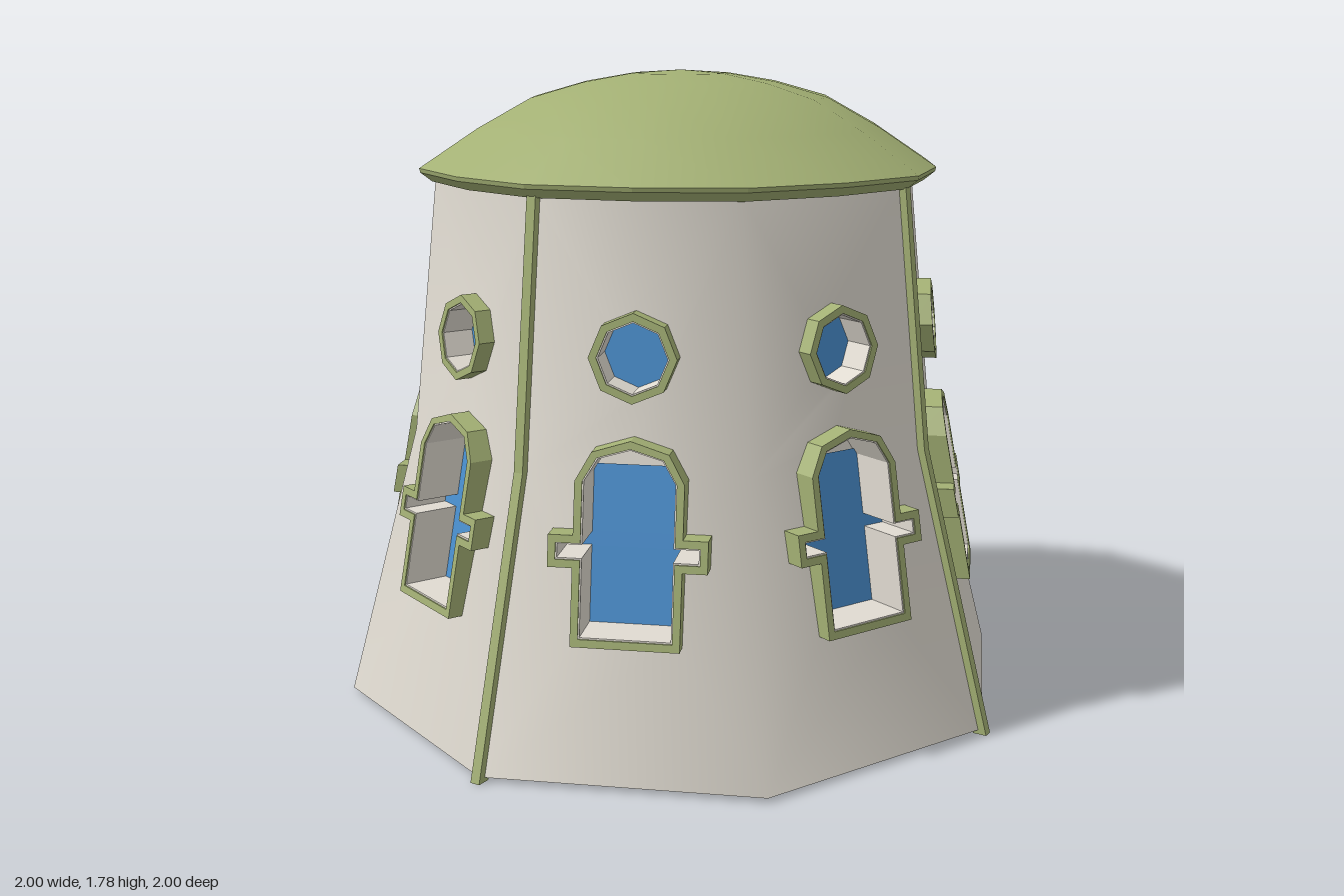
import * as THREE from 'three';

const BEND = 0.78, TOP = 1.49, STEP = Math.PI / 4;
const RADII = [[0.012, 0.98], [BEND, 0.775], [TOP, 0.7]];

// Corner radius of the eight-sided wall at height y
function radiusAt(y) {
  const [p, q] = y <= BEND ? [RADII[0], RADII[1]] : [RADII[1], RADII[2]];
  return p[1] + (q[1] - p[1]) * (y - p[0]) / (q[0] - p[0]);
}
const apothem = y => radiusAt(y) * Math.cos(STEP / 2);
const halfWidth = y => radiusAt(y) * Math.sin(STEP / 2);

// Leaning plane that carries the front of the arched frames
const archPlane = y => 0.855 - 0.19 * (y - 0.388);

const toShape = pts => new THREE.Shape(pts.map(p => new THREE.Vector2(p[0], p[1])));

// Arched opening with side slots, grown by a margin m
const HALF = 0.118;
function lowerEdge(m) {
  const a = HALF + m, s = 0.183 + m;
  const right = [[a, BEND], [a, 0.62 + m], [s, 0.62 + m], [s, 0.586 - m], [a, 0.586 - m], [a, 0.388 - m]];
  return [...right, ...right.map(([x, y]) => [-x, y]).reverse()];
}
function archEdge(m, n = 4) {
  const pts = [];
  for (let i = 0; i <= n; i++) {
    const t = Math.PI * (1 - i / n);
    pts.push([Math.cos(t) * (HALF + m), BEND + Math.sin(t) * (0.08 + m)]);
  }
  return pts;
}
const archOutline = m => [...lowerEdge(m), ...archEdge(m).slice(1, -1)];
function roundOutline(m) {
  const pts = [];
  for (let i = 0; i < 8; i++) pts.push([Math.sin(i * STEP) * (0.09 + m), 1.09 + Math.cos(i * STEP) * (0.09 + m)]);
  return pts;
}

// Moves a flat (x, y) drawing out to a leaning surface
function lay(geo, surface) {
  const p = geo.attributes.position;
  for (let i = 0; i < p.count; i++) p.setZ(i, p.getZ(i) + surface(p.getY(i)));
  geo.computeVertexNormals();
  return geo;
}

// Wall panel with normals that blend smoothly around the tower
function wallPanel(shape) {
  const geo = lay(new THREE.ShapeGeometry(shape), apothem);
  const p = geo.attributes.position, normals = [];
  for (let i = 0; i < p.count; i++) {
    const y = p.getY(i), t = p.getX(i) / halfWidth(y) * STEP / 2;
    const n = new THREE.Vector3(Math.sin(t), 0.25 - 0.1 * y, Math.cos(t)).normalize();
    normals.push(n.x, n.y, n.z);
  }
  geo.setAttribute('normal', new THREE.Float32BufferAttribute(normals, 3));
  return geo;
}

// Band around an opening, between two margins, from depth z0 to z1
function band(outline, inner, outer, z0, z1, surface) {
  const shape = toShape(outline(outer));
  shape.holes.push(toShape(outline(inner).reverse()));
  const geo = new THREE.ExtrudeGeometry(shape, { depth: z1 - z0, bevelEnabled: false });
  return lay(geo.translate(0, 0, z0), surface);
}

function plate(pts, z, surface) {
  return lay(new THREE.ShapeGeometry(toShape(pts)).translate(0, 0, z), surface);
}

// Sixteen-sided lathe, drawn in slightly between the eight main corners
function roofLathe(profile, flat) {
  let geo = new THREE.LatheGeometry(profile.map(p => new THREE.Vector2(...p)), 16);
  const p = geo.attributes.position, n = profile.length;
  for (let i = 0; i < p.count; i++) {
    const k = Math.floor(i / n) % 2 ? 0.975 : 1;
    p.setXYZ(i, p.getX(i) * k, p.getY(i), p.getZ(i) * k);
  }
  if (flat) {
    geo = geo.toNonIndexed();
    geo.computeVertexNormals();
  }
  return geo;
}

export function createModel() {
  const plaster = new THREE.MeshStandardMaterial({ color: 0xe0dbd1 });
  plaster.name = 'plaster';
  const green = new THREE.MeshStandardMaterial({ color: 0xa3b074 });
  green.name = 'moss green';
  const glass = new THREE.MeshStandardMaterial({ color: 0x4a90d0 });
  glass.name = 'blue glass';

  const model = new THREE.Group();
  model.name = 'tower';
  const add = (parent, name, geo, mat) => {
    const mesh = new THREE.Mesh(geo, mat);
    mesh.name = name;
    parent.add(mesh);
    return mesh;
  };

  // Wall panels with openings
  const y0 = RADII[0][0], w0 = halfWidth(y0), w1 = halfWidth(BEND), w2 = halfWidth(TOP);
  const lower = toShape([[-w0, y0], [w0, y0], [w1, BEND], ...lowerEdge(0.003), [-w1, BEND]]);
  const upper = toShape([[w1, BEND], [w2, TOP], [-w2, TOP], [-w1, BEND], ...archEdge(0.003)]);
  upper.holes.push(toShape(roundOutline(0.003)));

  // Flat-topped pane inside the arched recess
  const pane = [...lowerEdge(0.003), [-0.115, 0.795], [0.115, 0.795]];
  const parts = [
    ['lowerWall', wallPanel(lower), plaster],
    ['upperWall', wallPanel(upper), plaster],
    ['archFrame', band(archOutline, 0.004, 0.024, -0.08, 0, archPlane), green],
    ['archRecess', band(archOutline, 0, 0.004, -0.14, -0.004, archPlane), plaster],
    ['archRecessBack', plate(archOutline(0.003), -0.133, archPlane), plaster],
    ['archPane', plate(pane, -0.127, archPlane), glass],
    ['roundFrame', band(roundOutline, 0.004, 0.025, -0.01, 0.046, apothem), green],
    ['roundRecess', band(roundOutline, 0, 0.004, -0.06, 0.042, apothem), plaster],
    ['roundPane', plate(roundOutline(0.003), -0.045, apothem), glass],
  ];
  for (let k = 0; k < 8; k++) {
    const side = new THREE.Group();
    side.name = 'wallSide' + (k + 1);
    side.rotation.y = (k + 0.5) * STEP;
    for (const [name, geo, mat] of parts) add(side, name, geo, mat);
    model.add(side);
  }

  // Floor underside
  const floor = new THREE.CircleGeometry(RADII[0][1], 8).rotateX(Math.PI / 2).translate(0, y0, 0);
  add(model, 'floor', floor, plaster);

  // Ribs on the four main corners
  const ribShape = toShape([[0.96, 0], [0.998, 0], [0.79, BEND], [0.714, TOP], [0.68, TOP], [0.75, BEND]]);
  const ribGeo = new THREE.ExtrudeGeometry(ribShape, { depth: 0.028, bevelEnabled: false }).translate(0, 0, -0.014);
  for (let k = 0; k < 4; k++) add(model, 'rib' + (k + 1), ribGeo, green).rotation.y = k * Math.PI / 2;

  // Shallow dome with a thin rim
  const dome = [[0.745, 1.52], [0.58, 1.628], [0.43, 1.71], [0.28, 1.752], [0.14, 1.776], [0, 1.785]];
  add(model, 'domeRoof', roofLathe(dome, false), green);
  add(model, 'domeRim', roofLathe([[0, 1.483], [0.71, 1.483], [0.742, 1.508], [0.745, 1.52]], true), green);

  return model;
}
